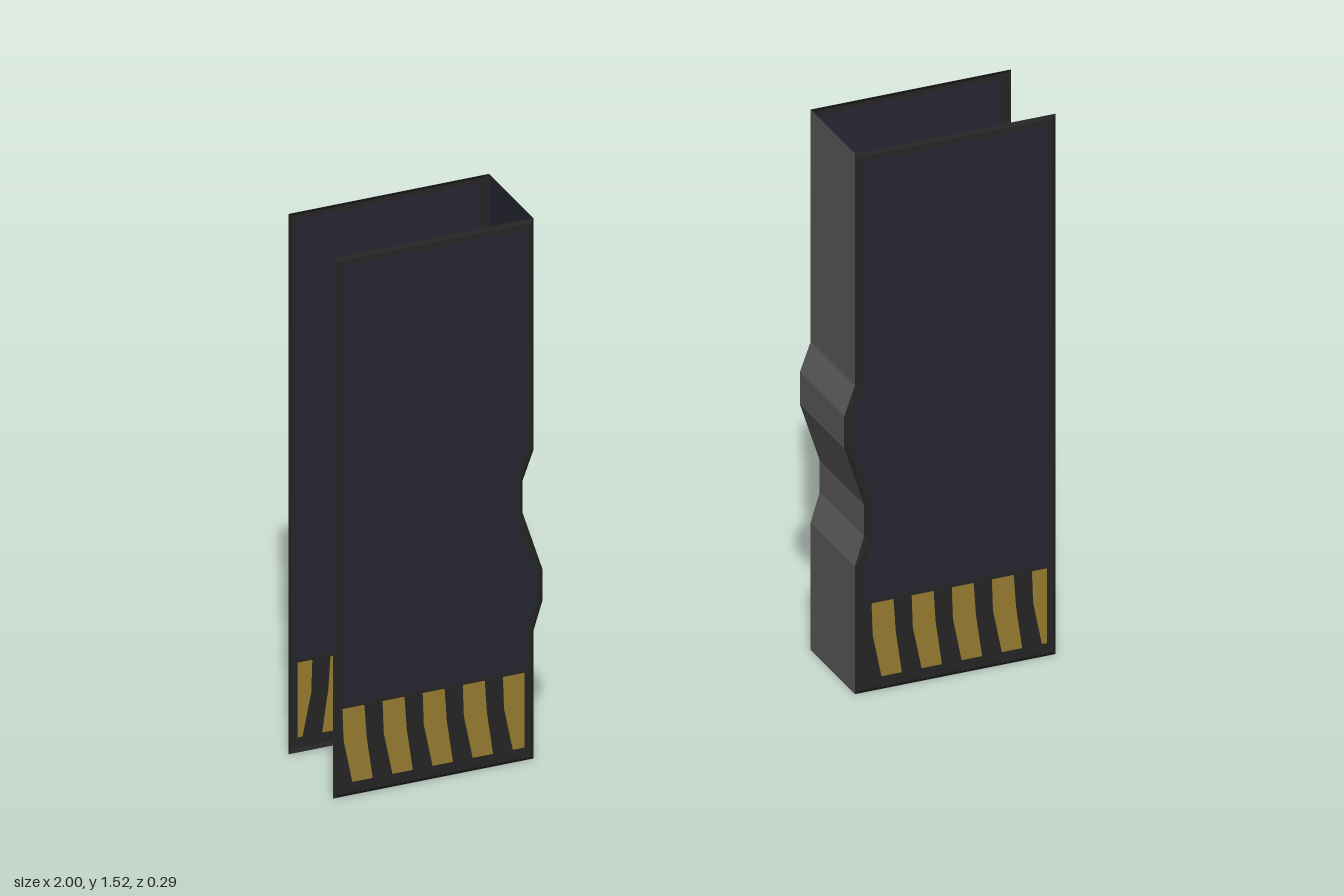
import * as THREE from 'three';

const mat = (name, color) => {
  const m = new THREE.MeshStandardMaterial({ color, side: THREE.DoubleSide });
  m.name = name;
  return m;
};

const H = 1.525, FACE = 0.143, RIM = 0.137, BAND = 0.26;
// Interlocking closing edge: [height, sideways shift]
const WAVE = [[0.87, 0], [0.79, -0.03], [0.7, -0.03], [0.53, 0.025], [0.44, 0.025], [0.36, 0]];

// Points of the closing edge from top to bottom, inset by d
function closingEdge(side, d, bottom = d) {
  const x = side * (0.445 + d);
  return [[x, H - d], ...WAVE.map(([y, dx]) => [x + dx, y]), [x, bottom]];
}

// Closed outline of one door leaf, inset by d
function outline(side, d, bottom = d) {
  const out = side * (1 - d);
  return [...closingEdge(side, d, bottom), [out, bottom], [out, H - d]];
}

// Quads joining two point lists that lie at depths za and zb
function strip(a, za, b, zb, closed) {
  const pos = [];
  const n = closed ? a.length : a.length - 1;
  for (let i = 0; i < n; i++) {
    const j = (i + 1) % a.length;
    const A = [...a[i], za], B = [...a[j], za], C = [...b[j], zb], D = [...b[i], zb];
    pos.push(...A, ...B, ...C, ...A, ...C, ...D);
  }
  const g = new THREE.BufferGeometry();
  g.setAttribute('position', new THREE.Float32BufferAttribute(pos, 3));
  g.computeVertexNormals();
  return g;
}

const shapeOf = pts => new THREE.Shape(pts.map(p => new THREE.Vector2(p[0], p[1])));

export function createModel() {
  const navy = mat('navy panel', 0x262633);
  const black = mat('black trim', 0x242424);
  const yellow = mat('hazard yellow', 0x957b30);
  const grey = mat('grey edge', 0x5b5b5d);
  const model = new THREE.Group();
  model.name = 'slidingDoor';

  const add = (parent, name, geometry, material) => {
    const m = new THREE.Mesh(geometry, material);
    m.name = name;
    parent.add(m);
    return m;
  };

  // Slanted warning stripes, clipped at the panel's sides
  function stripes(parent, pattern, turned, z) {
    const left = pattern < 0;
    const lo = left ? -0.976 : 0.488, hi = left ? -0.473 : 0.972;
    const clip = x => Math.min(hi, Math.max(lo, x));
    for (let i = 0; i < 5; i++) {
      const x = (left ? -0.976 : 0.488) + i * 0.111;
      const s = shapeOf([[clip(x), 0.25], [clip(x + 0.003), 0.16], [clip(x + 0.027), 0.04],
        [clip(x + 0.083), 0.04], [clip(x + 0.066), 0.16], [clip(x + 0.06), 0.25]]);
      const g = new THREE.ExtrudeGeometry(s, { depth: 0.004, bevelEnabled: false });
      g.translate(0, 0, -0.002);
      if (turned) g.rotateY(Math.PI);
      g.translate(0, 0, z);
      add(parent, 'warningStripe', g, yellow);
    }
  }

  for (const side of [-1, 1]) {
    const door = new THREE.Group();
    door.name = side < 0 ? 'rightDoor' : 'leftDoor';
    model.add(door);

    // Wavy wall along the closing edge
    const edge = closingEdge(side, 0);
    add(door, 'closingEdge', strip(edge, RIM, edge, -RIM, false), side < 0 ? navy : grey);

    for (const f of [1, -1]) {
      const sheet = new THREE.Group();
      sheet.name = f > 0 ? 'frontSheet' : 'backSheet';
      door.add(sheet);
      const z = f * FACE;
      // Bevelled rim and flat border
      add(sheet, 'bevel', strip(outline(side, 0), f * RIM, outline(side, 0.01), z, true), black);
      add(sheet, 'border', strip(outline(side, 0.01), z, outline(side, 0.025), z, true), black);
      // Main panel above the warning band
      const panel = new THREE.ShapeGeometry(shapeOf(outline(side, 0.025, BAND)));
      panel.translate(0, 0, z);
      add(sheet, 'panel', panel, navy);
      // Warning band
      const a = side * 0.47, b = side * 0.975;
      const band = new THREE.ShapeGeometry(shapeOf([[a, 0.025], [b, 0.025], [b, BAND], [a, BAND]]));
      band.translate(0, 0, z);
      add(sheet, 'warningBand', band, black);
      stripes(sheet, side * f, f < 0, z);
    }
  }
  return model;
}
